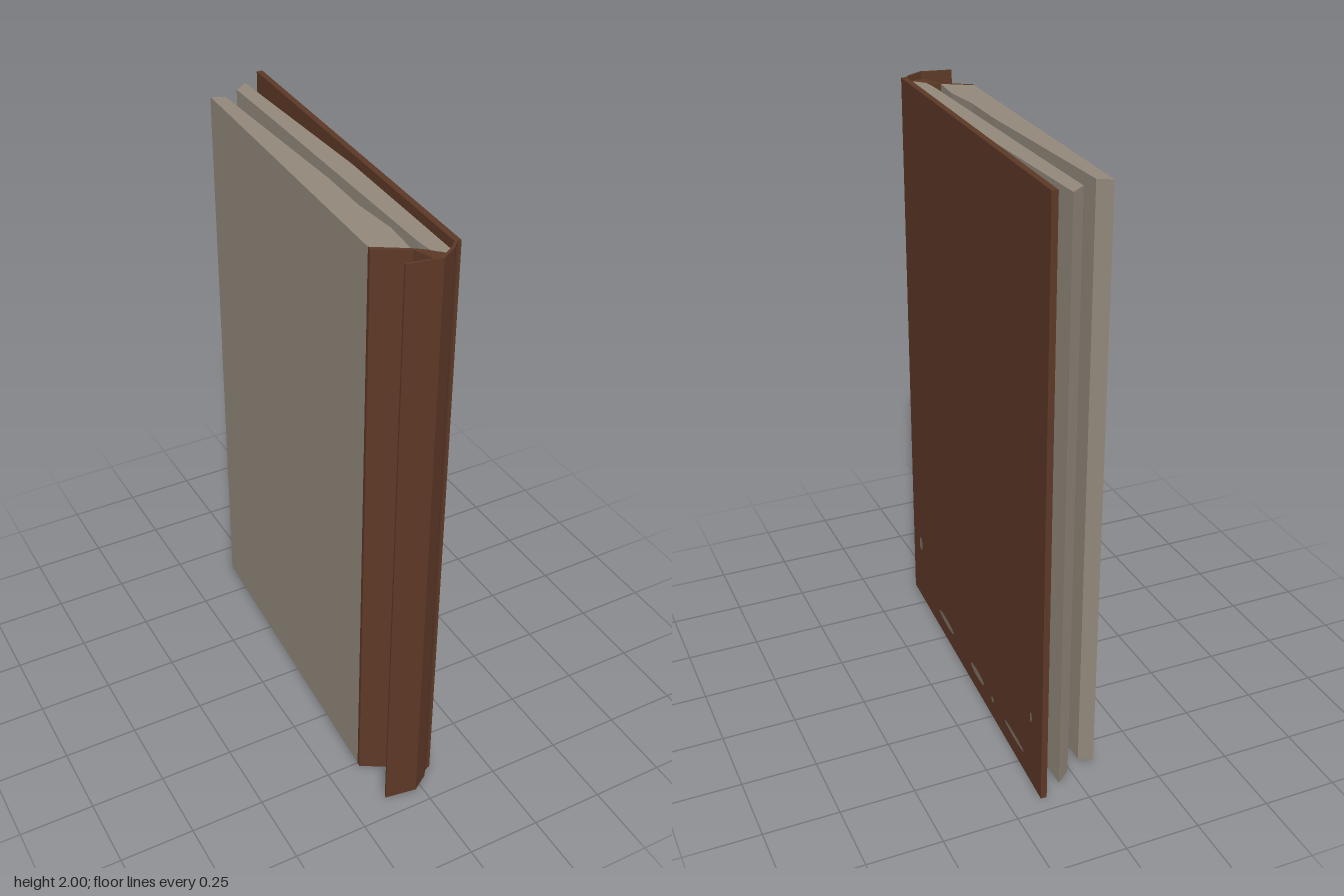
import * as THREE from 'three';

// Upright prism from a plan outline of [x, z] points
function prism(name, outline, y0, y1, material) {
  const shape = new THREE.Shape(outline.map(([x, z]) => new THREE.Vector2(x, -z)));
  const geo = new THREE.ExtrudeGeometry(shape, { depth: y1 - y0, bevelEnabled: false });
  geo.rotateX(-Math.PI / 2).translate(0, y0, 0);
  const mesh = new THREE.Mesh(geo, material);
  mesh.name = name;
  return mesh;
}

export function createModel() {
  const book = new THREE.Group();
  book.name = 'brokenBook';
  const leather = new THREE.MeshStandardMaterial({ color: 0x5c3826 });
  leather.name = 'brown leather';
  const paper = new THREE.MeshStandardMaterial({ color: 0x91877a });
  paper.name = 'aged paper';
  const worn = new THREE.MeshStandardMaterial({ color: 0x7c7264 });
  worn.name = 'worn patch';

  // Two loose page blocks
  book.add(
    prism('loosePages', [[-0.08, -0.615], [-0.037, -0.59], [-0.036, 0.1], [-0.045, 0.29],
      [-0.036, 0.45], [-0.05, 0.575], [-0.145, 0.515]], 0.02, 1.98, paper),
    prism('boundPages', [[0.02, -0.63], [0.07, -0.67], [0.07, 0.05], [0.04, 0.635], [0.025, 0.65],
      [-0.01, 0.61], [-0.014, 0.55], [0.012, -0.3]], 0.02, 1.98, paper)
  );

  // Torn lining strip behind the pages
  book.add(
    prism('looseLining', [[-0.145, 0.515], [-0.05, 0.575], [-0.05, 0.588], [-0.147, 0.53]], 0.02, 1.98, leather),
    prism('lining', [[-0.05, 0.575], [-0.03, 0.59], [0.03, 0.645], [0.0, 0.665], [-0.022, 0.665], [-0.045, 0.595]],
      0.02, 1.98, leather)
  );

  // Spine hanging from the hinge, with a free flap
  book.add(prism('spine', [[0.06, 0.62], [0.045, 0.632], [0.03, 0.648], [-0.022, 0.685], [-0.127, 0.669],
    [-0.128, 0.677], [-0.022, 0.694], [0.034, 0.657], [0.05, 0.637], [0.06, 0.632]], 0, 2, leather));

  // Cover board, slightly opened
  const cover = new THREE.Group();
  cover.name = 'cover';
  cover.position.set(0.0975, 0, -0.0325);
  cover.rotation.y = Math.atan2(-0.075, 1.325);
  const board = new THREE.Mesh(new THREE.BoxGeometry(0.02, 2, 1.327), leather);
  board.name = 'coverBoard';
  board.position.y = 1;
  cover.add(board);

  // Worn patches on the outside of the cover: [z, y, width, height]
  const patches = [[0.24, 0.073, 0.17, 0.028], [-0.1, 0.073, 0.14, 0.03], [-0.255, 0.073, 0.025, 0.02],
    [-0.46, 0.073, 0.18, 0.02], [0.54, 0.24, 0.035, 0.055], [-0.605, 0.255, 0.018, 0.04]];
  for (const [z, y, w, h] of patches) {
    const patch = new THREE.Mesh(new THREE.CircleGeometry(0.5, 10), worn);
    patch.name = 'wornPatch';
    patch.scale.set(w, h, 1);
    patch.rotation.y = Math.PI / 2;
    patch.position.set(0.0115, y, z + 0.0325);
    cover.add(patch);
  }
  book.add(cover);
  return book;
}
